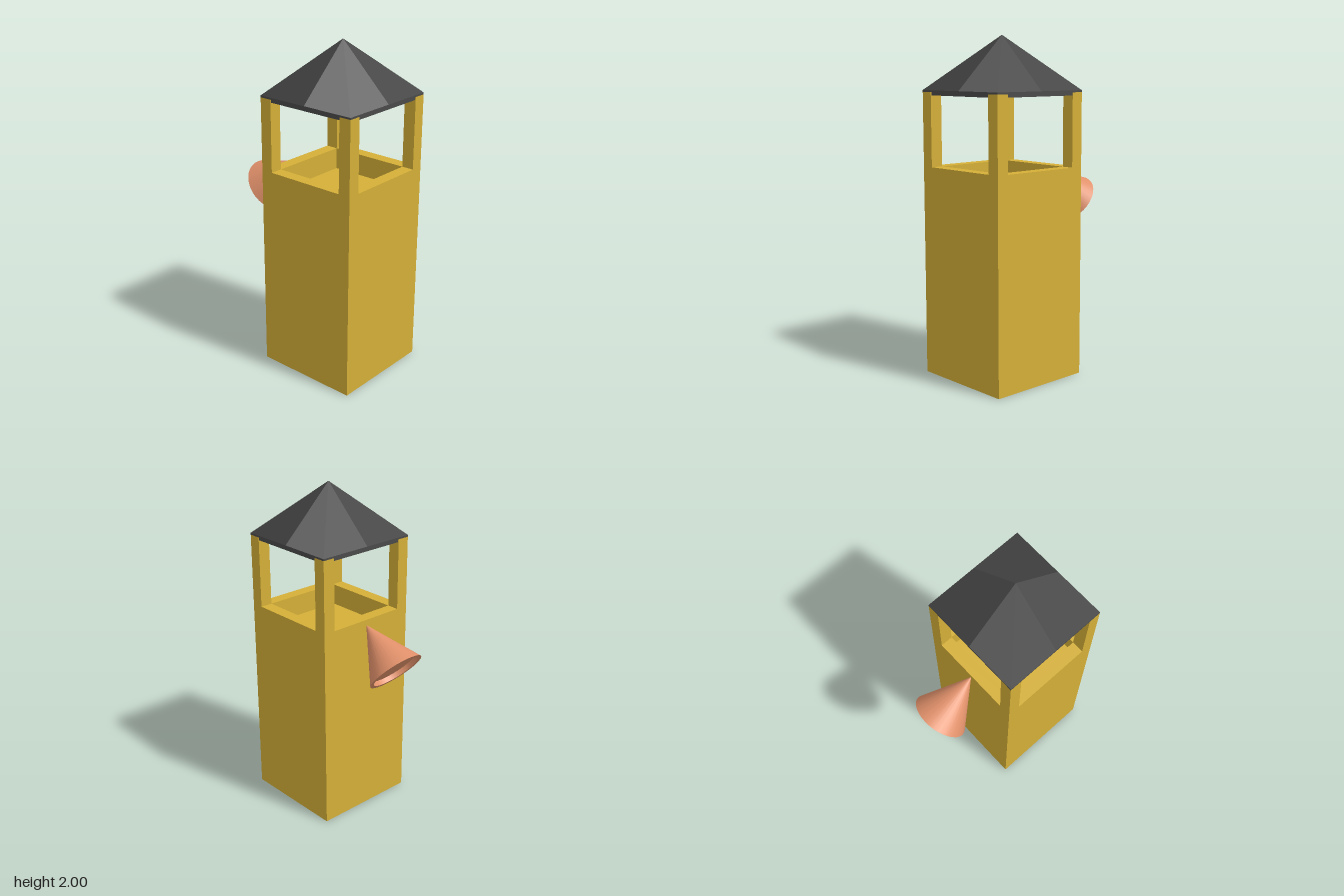
import * as THREE from 'three';

const HALF = 0.324, POST = 0.075, CZ = 0.176; // tower half width, post width, tower centre
const FLOOR = 1.115, SILL = 1.245, POST_TOP = 1.676, EAVE = 1.687, TOP = 2;

const yellow = new THREE.MeshStandardMaterial({ color: 0xd4af37 });
const dark = new THREE.MeshStandardMaterial({ color: 0x4a4a4a, side: THREE.DoubleSide });
const copper = new THREE.MeshStandardMaterial({ color: 0xe0906a, side: THREE.DoubleSide });

function add(parent, name, geometry, material) {
  const mesh = new THREE.Mesh(geometry, material);
  mesh.name = name;
  parent.add(mesh);
  return mesh;
}

// Square ring lying flat, between two heights
function squareRing(outer, inner, y0, y1) {
  const square = (h, T) => new T([[-h, -h], [h, -h], [h, h], [-h, h]].map(p => new THREE.Vector2(...p)));
  const shape = square(outer, THREE.Shape);
  shape.holes.push(square(inner, THREE.Path));
  return new THREE.ExtrudeGeometry(shape, { depth: y1 - y0, bevelEnabled: false })
    .rotateX(-Math.PI / 2).translate(0, y0, 0);
}

// One quarter of the hollow roof, shaded as a single panel facing its corner
function roofQuarter() {
  const h = HALF, g = new THREE.BufferGeometry();
  const points = [[0, TOP, 0], [0, EAVE, h], [h, EAVE, h], [h, EAVE, 0]];
  const n = new THREE.Vector3(1, 1.45, 1).normalize().toArray();
  g.setAttribute('position', new THREE.Float32BufferAttribute(points.flat(), 3));
  g.setAttribute('normal', new THREE.Float32BufferAttribute(points.flatMap(() => n), 3));
  g.setIndex([0, 1, 2, 0, 2, 3]);
  return g;
}

export function createModel() {
  const model = new THREE.Group();
  const tower = new THREE.Group();
  tower.name = 'tower';
  tower.position.z = CZ;
  model.add(tower);

  // Solid shaft with a parapet around the sunken floor
  add(tower, 'shaft', new THREE.BoxGeometry(2 * HALF, FLOOR, 2 * HALF), yellow).position.y = FLOOR / 2;
  add(tower, 'parapet', squareRing(HALF, HALF - POST, FLOOR, SILL), yellow);

  // Corner posts
  for (const sx of [-1, 1]) for (const sz of [-1, 1]) {
    const post = add(tower, 'cornerPost', new THREE.BoxGeometry(POST, POST_TOP - SILL, POST), yellow);
    post.position.set(sx * (HALF - POST / 2), (POST_TOP + SILL) / 2, sz * (HALF - POST / 2));
  }

  // Roof panels, thin eave and the lip below it
  const roof = new THREE.Group();
  roof.name = 'roof';
  tower.add(roof);
  for (let i = 0; i < 4; i++) add(roof, 'roofPanel', roofQuarter(), dark).rotation.y = i * Math.PI / 2;
  add(roof, 'eave', squareRing(HALF, HALF - 0.02, POST_TOP, EAVE), dark);
  add(roof, 'eaveLip', squareRing(HALF - 0.004, HALF - 0.02, 1.658, POST_TOP), dark);

  // Horn on the back wall: cone with a rim and a recessed mouth
  const tip = new THREE.Vector3(0, 1.21, -0.146), mouth = new THREE.Vector3(0, 0.9975, -0.3925);
  const axis = mouth.clone().sub(tip), length = axis.length(), r = 0.171, inner = 0.147, recess = 0.03;
  const horn = new THREE.Group();
  horn.name = 'horn';
  horn.position.copy(tip);
  horn.quaternion.setFromUnitVectors(new THREE.Vector3(0, 1, 0), axis.normalize());
  model.add(horn);
  const lathe = pts => new THREE.LatheGeometry(pts.map(p => new THREE.Vector2(...p)), 32);
  add(horn, 'hornCone', lathe([[0.001, 0], [r, length]]), copper);
  add(horn, 'hornRim', lathe([[r, length], [inner, length]]), copper);
  add(horn, 'hornMouthWall', lathe([[inner, length], [inner, length - recess]]), copper);
  add(horn, 'hornMouth', lathe([[inner, length - recess], [0, length - recess]]), copper);

  return model;
}
